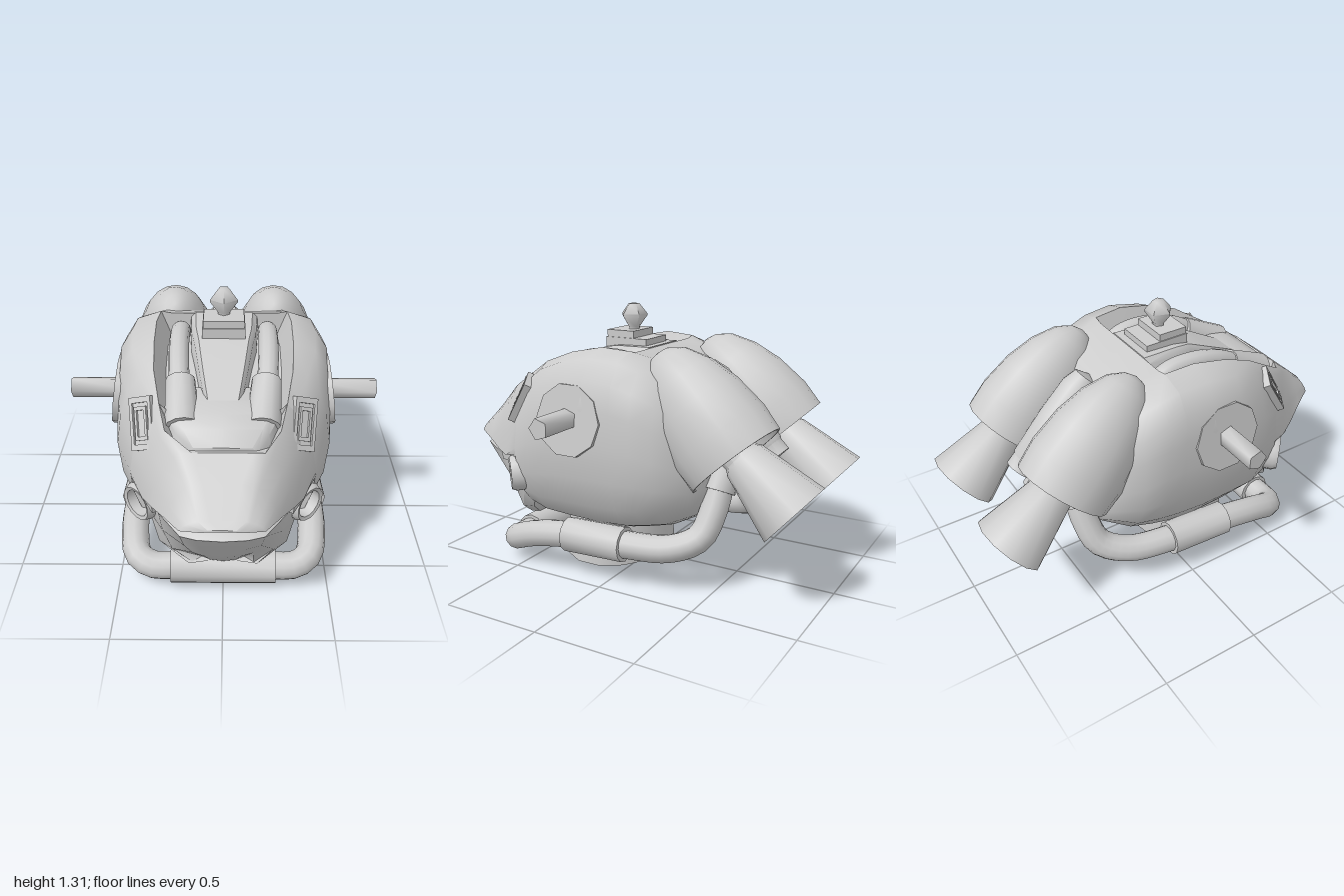
import * as THREE from 'three';
import { toCreasedNormals } from 'three/addons/utils/BufferGeometryUtils.js';

const solid = new THREE.MeshStandardMaterial({ color: 0xcccccc });
const shell = new THREE.MeshStandardMaterial({ color: 0xcccccc, side: THREE.DoubleSide });
const V = (x, y, z) => new THREE.Vector3(x, y, z);
const UP = V(0, 1, 0);

export function createModel() {
  const model = new THREE.Group();
  const sides = [['left', 1], ['right', -1]];

  function add(name, geo, mat = solid, crease = 0.7) {
    const mesh = new THREE.Mesh(toCreasedNormals(geo, crease), mat);
    mesh.name = name;
    model.add(mesh);
    return mesh;
  }

  // Closed skin over rings of points, with a fan at each end
  function loft(rings) {
    const n = rings[0].length, pos = [], idx = [];
    rings.forEach(r => r.forEach(p => pos.push(p.x, p.y, p.z)));
    for (let i = 0; i < rings.length - 1; i++)
      for (let j = 0; j < n; j++) {
        const k = (j + 1) % n, a = i * n + j, b = i * n + k;
        idx.push(a, b, a + n, b, b + n, a + n);
      }
    [0, rings.length - 1].forEach((ri, end) => {
      const c = V(0, 0, 0);
      rings[ri].forEach(p => c.addScaledVector(p, 1 / n));
      const ci = pos.length / 3;
      pos.push(c.x, c.y, c.z);
      for (let j = 0; j < n; j++) {
        const a = ri * n + j, b = ri * n + (j + 1) % n;
        end ? idx.push(ci, a, b) : idx.push(ci, b, a);
      }
    });
    const g = new THREE.BufferGeometry();
    g.setAttribute('position', new THREE.Float32BufferAttribute(pos, 3));
    g.setIndex(idx);
    return g;
  }

  // Completes a half ring (first and last points on x = 0) by mirroring it
  const mirrorRing = half => [...half,
    ...half.slice(1, -1).reverse().map(p => V(-p.x, p.y, p.z))];

  // Body section: top, half width, widest height, bottom, bottom half width, ridge x, recess depth
  function section([z, yt, w, ym, yb, wb, xr, d]) {
    const half = [V(0, yb, z)];
    for (let i = 0; i <= 4; i++) {
      const a = i / 4 * Math.PI / 2;
      half.push(V(wb + (w - wb) * Math.sin(a), ym - (ym - yb) * Math.cos(a), z));
    }
    // shoulders are full at the back and slope towards the front
    const slope = THREE.MathUtils.clamp((z - 0.2) / 0.35, 0, 1);
    [[0.38, 0.03, 0.17], [0.68, 0.12, 0.45], [0.91, 0.42, 0.8]].forEach(([h, full, flat]) =>
      half.push(V(w - (w - xr) * THREE.MathUtils.lerp(full, flat, slope), ym + (yt - ym) * h, z)));
    half.push(V(xr, yt, z), V(xr - 0.05, yt - d, z), V(0, yt - d, z));
    return mirrorRing(half);
  }

  // Places a geometry built along +y so that y = 0 is at a and +y points to b
  function aim(mesh, a, b) {
    mesh.position.copy(a);
    mesh.quaternion.setFromUnitVectors(UP, b.clone().sub(a).normalize());
    return mesh;
  }
  function rod(name, a, b, r0, r1 = r0, seg = 12, crease = 0.7) {
    const len = a.distanceTo(b);
    const geo = new THREE.CylinderGeometry(r1, r0, len, seg).translate(0, len / 2, 0);
    return aim(add(name, geo, solid, crease), a, b);
  }
  function turned(name, profile, a, b, seg = 14, crease = 0.7) {
    const pts = profile.map(([r, y]) => new THREE.Vector2(r, y));
    return aim(add(name, new THREE.LatheGeometry(pts, seg), shell, crease), a, b);
  }
  function tube(name, pts, r) {
    return add(name, new THREE.TubeGeometry(new THREE.CatmullRomCurve3(pts), 36, r, 12), shell);
  }
  function box(name, w, h, d, x, y, z) {
    const m = add(name, new THREE.BoxGeometry(w, h, d));
    m.position.set(x, y, z);
    return m;
  }

  // Main shell with the sunken top channel
  add('body', loft([
    [-0.47, 0.74, 0.24, 0.57, 0.43, 0.12, 0.12, 0],
    [-0.41, 0.89, 0.39, 0.6, 0.36, 0.2, 0.18, 0],
    [-0.28, 1.04, 0.485, 0.66, 0.3, 0.26, 0.26, 0],
    [-0.17, 1.09, 0.505, 0.69, 0.275, 0.28, 0.29, 0.005],
    [-0.07, 1.125, 0.51, 0.7, 0.26, 0.3, 0.31, 0.01],
    [-0.069, 1.125, 0.51, 0.7, 0.26, 0.3, 0.31, 0.13],
    [0.08, 1.135, 0.52, 0.71, 0.25, 0.3, 0.32, 0.13],
    [0.25, 1.1, 0.515, 0.7, 0.25, 0.29, 0.32, 0.14],
    [0.41, 1.04, 0.495, 0.66, 0.25, 0.27, 0.31, 0.14],
    [0.55, 0.95, 0.425, 0.6, 0.27, 0.24, 0.28, 0.12]].map(section)), solid, 0.8);

  // Overhanging snout with an arched lip
  add('snout', loft([
    [0.55, 0.95, 0.425, 0.6, 0.5, 0.36, 0.28, 0.12],
    [0.66, 0.88, 0.365, 0.53, 0.54, 0.31, 0.25, 0.08],
    [0.75, 0.825, 0.315, 0.545, 0.56, 0.26, 0.18, 0],
    [0.86, 0.735, 0.245, 0.565, 0.58, 0.2, 0.13, 0],
    [0.97, 0.635, 0.18, 0.585, 0.6, 0.14, 0.1, 0],
    [1.0, 0.612, 0.09, 0.6, 0.603, 0.07, 0.06, 0]].map(section)), solid, 0.9);

  // Lower jaw, stacked upward: height, front z, front half width, cheek half width, back z
  add('jaw', loft([
    [0.168, 0.665, 0.1, 0.16, 0.64], [0.26, 0.75, 0.14, 0.3, 0.58], [0.4, 0.87, 0.17, 0.345, 0.53],
    [0.525, 0.965, 0.18, 0.36, 0.5], [0.57, 0.9, 0.15, 0.33, 0.5]].map(([y, zf, wf, ws, zb]) => mirrorRing([
    V(0, y, zf), V(wf * 0.6, y, zf - 0.01), V(wf, y, zf - 0.035),
    V((wf + ws) / 2 + 0.015, y * 0.96, (zf + zb) / 2 + 0.01), V(ws, y * 0.94, zb + 0.03),
    V(ws * 0.95, y * 0.94, zb - 0.03), V(0, y, zb - 0.03)]))), solid, 0.9);

  // Raised deck and front hump inside the channel
  const slab = ([z, yt, w, yb]) => mirrorRing([V(0, yb, z), V(w * 1.1, yb, z),
    V(w * 1.05, yt - 0.025, z), V(w * 0.9, yt, z), V(0, yt, z)]);
  add('deck', loft([[-0.069, 1.12, 0.155, 0.9], [0.12, 1.115, 0.145, 0.9], [0.2, 1.1, 0.13, 0.9],
    [0.35, 1.025, 0.105, 0.85], [0.51, 0.945, 0.075, 0.8]].map(slab)));
  add('frontHump', loft([[0.4, 0.95, 0.2, 0.8], [0.51, 0.945, 0.225, 0.76],
    [0.6, 0.925, 0.225, 0.75], [0.665, 0.89, 0.19, 0.74], [0.72, 0.83, 0.14, 0.74]].map(slab)));

  // Antenna on stepped blocks
  box('antennaPlinth', 0.2, 0.05, 0.23, 0, 1.125, 0.085);
  box('antennaBase', 0.19, 0.06, 0.15, 0, 1.155, 0.12);
  turned('antennaKnob', [[0.03, 0], [0.03, 0.015], [0.068, 0.07], [0.068, 0.08], [0.028, 0.13], [0, 0.13]],
    V(0, 1.18, 0.1), V(0, 2, 0.1), 5, 1.3);

  // Neck
  const neck = rod('neck', V(0, 0.02, 0.18), V(0, 0.32, 0.18), 0.27, 0.25, 14);
  neck.scale.x = 1.25;

  // Chin pipe sleeve at the front
  rod('frontSleeve', V(-0.25, 0.088, 0.6), V(0.25, 0.088, 0.6), 0.086);

  for (const [side, s] of sides) {
    const P = (x, y, z) => V(s * x, y, z);

    // Ear disc and rod
    rod(side + 'EarDisc', P(0.4, 0.8, 0.15), P(0.52, 0.815, 0.15), 0.178, 0.175, 10);
    rod(side + 'EarRod', P(0.4, 0.82, 0.15), P(0.735, 0.82, 0.15), 0.052, 0.052, 5, 1.3);

    // Framed cheek plate, lying on the sloping cheek
    const out = P(0.54, 0.42, 0.72).normalize();
    const across = P(0.02, 0.19, -0.12).cross(out).normalize();
    const plate = new THREE.Group();
    plate.name = side + 'CheekPlate';
    plate.quaternion.setFromRotationMatrix(
      new THREE.Matrix4().makeBasis(across, out.clone().cross(across), out));
    plate.position.copy(P(0.352, 0.848, 0.548));
    const rect = (C, w, h) => new C([[-w, -h], [w, -h], [w, h], [-w, h]].map(p => new THREE.Vector2(...p)));
    [[0.06, 0.118, 0.043, 0.092, 0.02], [0.033, 0.075, 0.02, 0.058, 0.02]].forEach(([w, h, iw, ih, top]) => {
      const shape = rect(THREE.Shape, w, h);
      shape.holes.push(rect(THREE.Path, iw, ih));
      const geo = new THREE.ExtrudeGeometry(shape, { depth: top + 0.05, bevelEnabled: false });
      plate.add(add('plateFrame', geo.translate(0, 0, -0.05)));
    });
    plate.add(box('plateBack', 0.11, 0.22, 0.06, 0, 0, -0.02));
    model.add(plate);

    // Hollow lamp with bracket
    turned(side + 'Lamp', [[0, 0.05], [0.068, 0.05], [0.068, 0.14], [0.085, 0.145], [0.096, 0.12], [0.092, 0]],
      P(0.3, 0.46, 0.5), P(0.99, 0.41, 1.21), 14);
    const bracket = box(side + 'LampBracket', 0.04, 0.04, 0.12, s * 0.325, 0.52, 0.665);
    bracket.rotation.set(0.2, -s * 0.5, 0);

    // Channel pipe and its socket
    tube(side + 'ChannelPipe', [P(0.21, 1.02, -0.06), P(0.21, 1.06, 0.02), P(0.21, 1.065, 0.15),
      P(0.205, 1.03, 0.3), P(0.195, 0.95, 0.45)], 0.047);
    rod(side + 'ChannelSocket', P(0.195, 0.975, 0.38), P(0.175, 0.86, 0.6), 0.068, 0.08);

    // Long pipe from the chin round to the back, with sleeves
    tube(side + 'SidePipe', [P(0.2, 0.09, 0.6), P(0.34, 0.092, 0.6), P(0.41, 0.12, 0.56), P(0.435, 0.17, 0.43),
      P(0.435, 0.21, 0.2), P(0.42, 0.215, -0.1), P(0.375, 0.225, -0.32), P(0.31, 0.28, -0.44),
      P(0.25, 0.4, -0.48), P(0.19, 0.54, -0.49)], 0.067);
    rod(side + 'SideSleeve', P(0.435, 0.21, 0.22), P(0.42, 0.215, -0.1), 0.086);
    rod(side + 'PipeCollar', P(0.215, 0.49, -0.49), P(0.165, 0.6, -0.5), 0.078);
    box(side + 'PipeMount', 0.16, 0.09, 0.12, s * 0.33, 0.24, 0.06);

    // Open-backed booster pod
    const rim = P(0.28, 0.67, -0.6), nose = P(0.25, 1.11, -0.19);
    const pod = turned(side + 'Pod', [[0.225, 0.06], [0.24, 0], [0.25, 0], [0.258, 0.13], [0.235, 0.3],
      [0.19, 0.44], [0.125, 0.55], [0.06, 0.6], [0, 0.615]], rim, nose, 18);
    pod.scale.x = 0.83;

    // Hollow nozzle with a core
    const top = P(0.27, 0.71, -0.6), end = P(0.27, 0.465, -0.88);
    turned(side + 'Nozzle', [[0.09, -0.14], [0.09, 0.03], [0.105, 0.05], [0.178, 0.375],
      [0.158, 0.375], [0.09, 0.18], [0, 0.18]], top, end, 12);
    rod(side + 'NozzleCore', P(0.27, 0.6, -0.73), P(0.27, 0.52, -0.82), 0.05);
  }

  // Slim pod between the boosters, with a small outlet below
  turned('centrePod', [[0, 0], [0.068, 0], [0.068, 0.06], [0.075, 0.07], [0.088, 0.3], [0.088, 0.48],
    [0.065, 0.55], [0, 0.57]], V(0, 0.63, -0.69), V(0, 1, -0.32));
  turned('centreOutlet', [[0.05, -0.1], [0.05, 0.08], [0.075, 0.1], [0.08, 0.18], [0.06, 0.18], [0.04, 0.1], [0, 0.1]],
    V(0, 0.61, -0.5), V(0, 0.46, -0.61), 8);

  return model;
}
